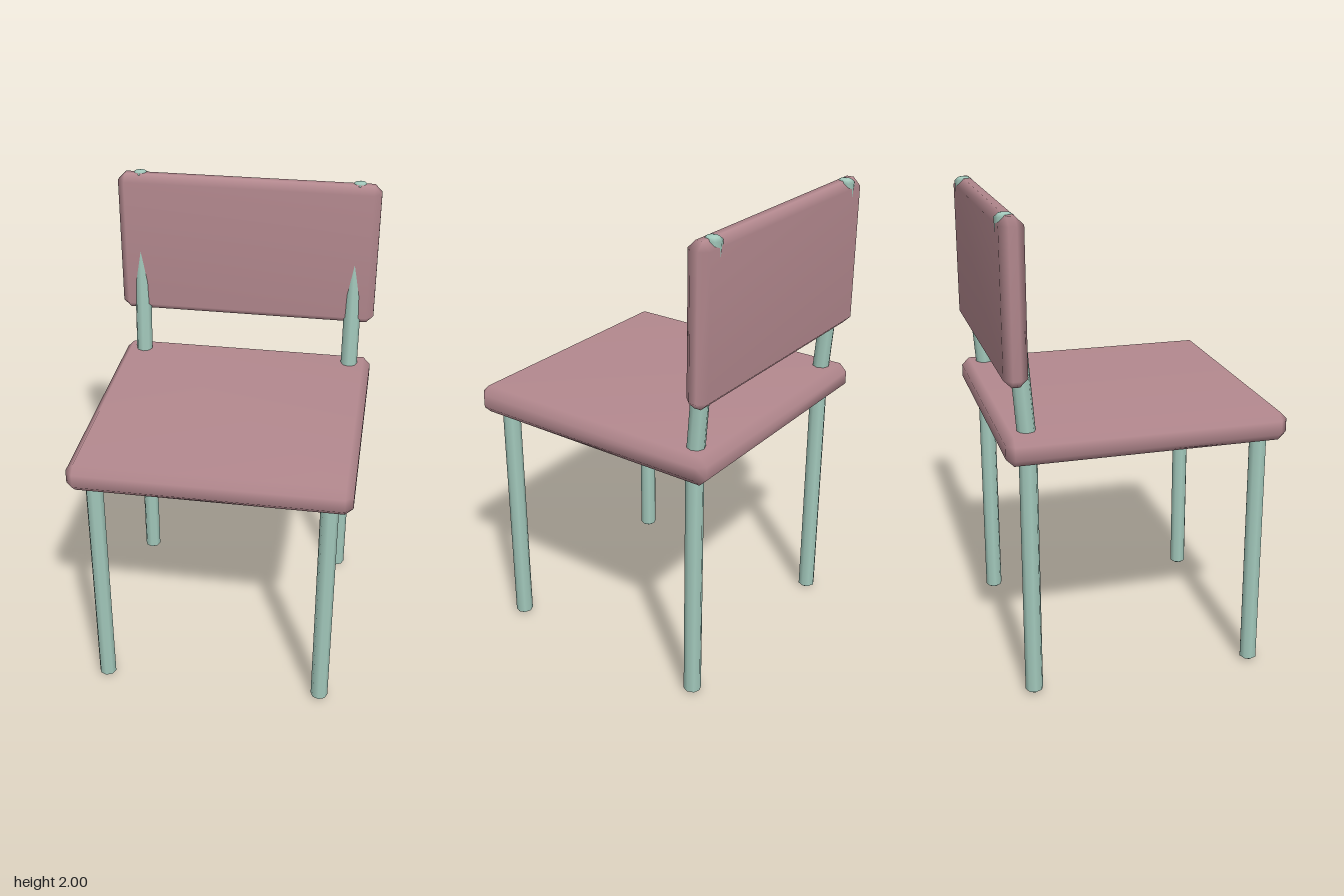
import * as THREE from 'three';
import { mergeVertices } from 'three/addons/utils/BufferGeometryUtils.js';
import { ConvexGeometry } from 'three/addons/geometries/ConvexGeometry.js';

// Box with bevelled edges and soft, shared normals
function bevelledBox(w, h, d, bevel) {
  const points = [];
  for (const sx of [-1, 1]) for (const sy of [-1, 1]) for (const sz of [-1, 1]) {
    const x = w / 2, y = h / 2, z = d / 2, b = bevel;
    points.push(
      new THREE.Vector3(sx * x, sy * (y - b), sz * (z - b)),
      new THREE.Vector3(sx * (x - b), sy * y, sz * (z - b)),
      new THREE.Vector3(sx * (x - b), sy * (y - b), sz * z)
    );
  }
  const hull = new ConvexGeometry(points);
  hull.deleteAttribute('normal');
  const geometry = mergeVertices(hull, 1e-4);
  geometry.computeVertexNormals();
  return geometry;
}

// Eight-sided rod with gently domed ends, standing on its base
function rod(length, r = 0.037) {
  const profile = [
    [0, 0], [r * 0.6, 0.004], [r, 0.015],
    [r, length - 0.015], [r * 0.6, length - 0.004], [0, length]
  ].map(([x, y]) => new THREE.Vector2(x, y));
  return new THREE.LatheGeometry(profile, 8);
}

export function createModel() {
  const model = new THREE.Group();
  model.name = 'chair';
  const cushion = new THREE.MeshStandardMaterial({ name: 'dusty pink', color: 0xb4898f });
  const frame = new THREE.MeshStandardMaterial({ name: 'pale green', color: 0xa3c9bc });

  function add(name, geometry, material, x, y, z) {
    const mesh = new THREE.Mesh(geometry, material);
    mesh.name = name;
    mesh.position.set(x, y, z);
    model.add(mesh);
    return mesh;
  }

  // Seat and backrest panels
  add('seat', bevelledBox(1.146, 0.12, 1.146, 0.032), cushion, 0, 1.1, 0.002);
  add('backrest', bevelledBox(1.146, 0.635, 0.095, 0.032), cushion, 0, 1.672, -0.524);

  const legGeometry = rod(1.1);
  const bottom = new THREE.Vector3(0, 1.08, -0.472);
  const top = new THREE.Vector3(0, 1.998, -0.54);
  const lean = top.clone().sub(bottom);
  const postGeometry = rod(lean.length());

  for (const [side, x] of [['left', 0.478], ['right', -0.478]]) {
    // Straight legs
    add(side + 'FrontLeg', legGeometry, frame, x, 0, 0.481);
    add(side + 'BackLeg', legGeometry, frame, x, 0, -0.473);
    // Leaning post running through the backrest
    const post = add(side + 'BackPost', postGeometry, frame, x, bottom.y, bottom.z);
    post.rotation.x = Math.atan2(lean.z, lean.y);
  }
  return model;
}
